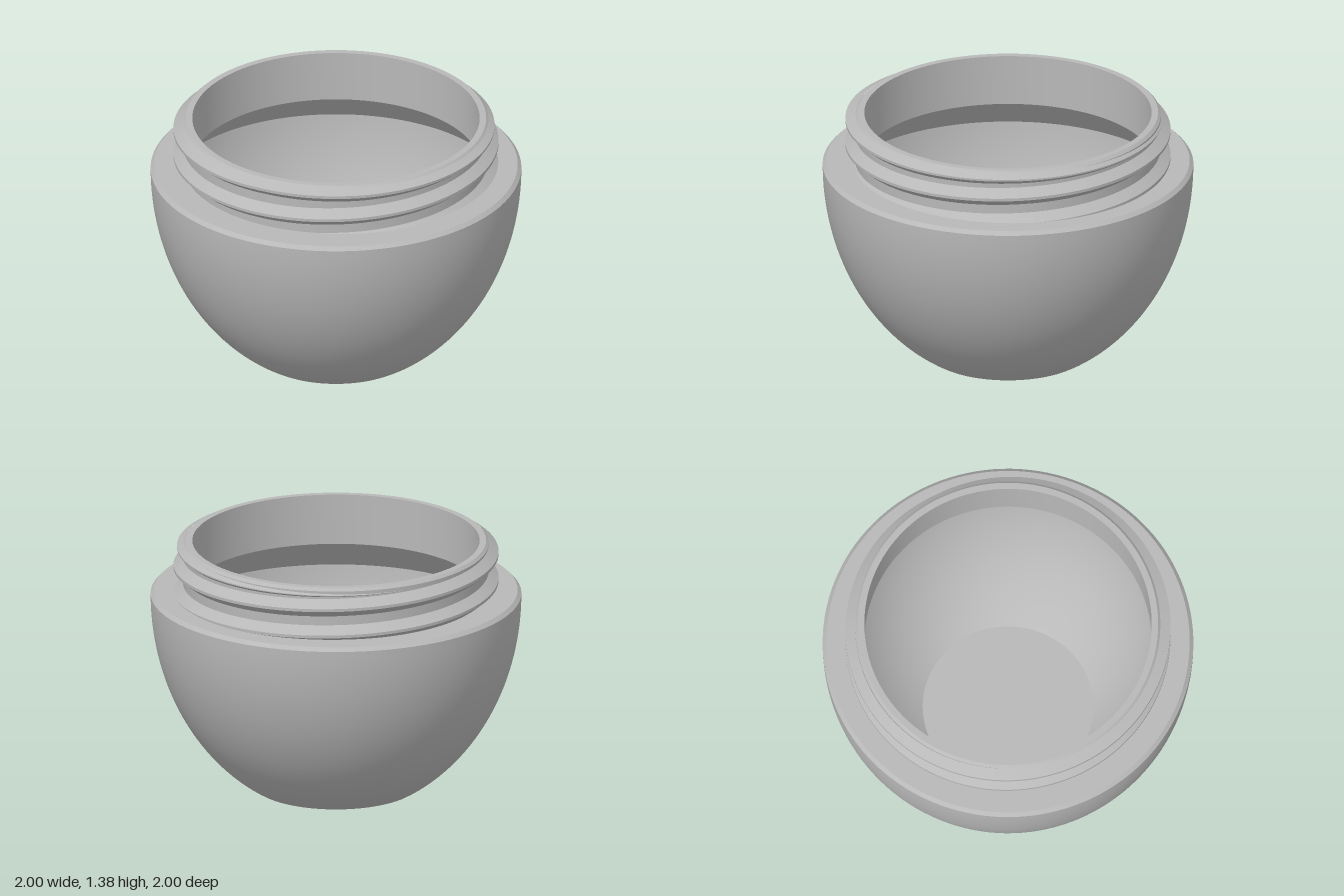
import * as THREE from 'three';
import { toCreasedNormals } from 'three/addons/utils/BufferGeometryUtils.js';

const plastic = new THREE.MeshStandardMaterial({ color: 0xb8b8b8 });
plastic.name = 'grey plastic';

const NECK = 0.825, CREST = 0.877, PITCH = 0.15;

// points on an ellipse centred on the axis at height 1.08, from radius r0 to r1
function bowlCurve(a, b, r0, r1, steps) {
  const t0 = Math.asin(r0 / a), t1 = Math.asin(r1 / a);
  return Array.from({ length: steps + 1 }, (_, i) => {
    const t = t0 + (t1 - t0) * i / steps;
    return [a * Math.sin(t), 1.08 - b * Math.cos(t)];
  });
}

// closed wall of the jar: outside going up, inside going down
function jarGeometry() {
  const outer = bowlCurve(1, 1.21, 0.45, 1, 32);
  outer[0][1] = 0;
  const inner = bowlCurve(0.94, 1.15, 0.46, 0.932, 32).reverse();
  const floorY = inner[inner.length - 1][1];
  const profile = [
    [0, 0], ...outer,
    [0.98, 1.1], [NECK, 1.1],                    // shoulder
    [NECK, 1.365], [0.81, 1.38], [0.775, 1.38],  // neck and lip
    [0.775, 1.1],                                // bore, then undercut
    ...inner, [0, floorY],
  ].map(([x, y]) => new THREE.Vector2(x, y));
  return toCreasedNormals(new THREE.LatheGeometry(profile, 128), 0.35);
}

// trapezoid ridge swept along a rising helix, fading out near the lip
function threadGeometry() {
  const turns = 2.6, steps = 330, pos = [], index = [];
  for (let i = 0; i <= steps; i++) {
    const t = turns * i / steps;
    const angle = Math.PI / 2 - t * Math.PI * 2;
    const y = Math.min(1.05 + PITCH * t, 1.342);
    const s = THREE.MathUtils.clamp((turns - t) / 0.55, 0, 1);
    const root = NECK - 0.003, crest = root + (CREST - root) * s;
    const section = [[root, -0.052 * s], [crest, -0.008 * s], [crest, 0.008 * s], [root, 0.052 * s]];
    for (const [r, dy] of section) {
      const h = THREE.MathUtils.clamp(y + dy, 1.08, 1.37);
      pos.push(r * Math.cos(angle), h, r * Math.sin(angle));
    }
    if (i === steps) break;
    for (let k = 0; k < 3; k++) {
      const a = i * 4 + k, b = a + 4;
      index.push(a, b, a + 1, b, b + 1, a + 1);
    }
  }
  const geo = new THREE.BufferGeometry();
  geo.setAttribute('position', new THREE.Float32BufferAttribute(pos, 3));
  geo.setIndex(index);
  return toCreasedNormals(geo, 0.35);
}

export function createModel() {
  const group = new THREE.Group();
  group.name = 'jar';
  const parts = { jarBody: jarGeometry(), screwThread: threadGeometry() };
  for (const [name, geometry] of Object.entries(parts)) {
    const mesh = new THREE.Mesh(geometry, plastic);
    mesh.name = name;
    group.add(mesh);
  }
  return group;
}
